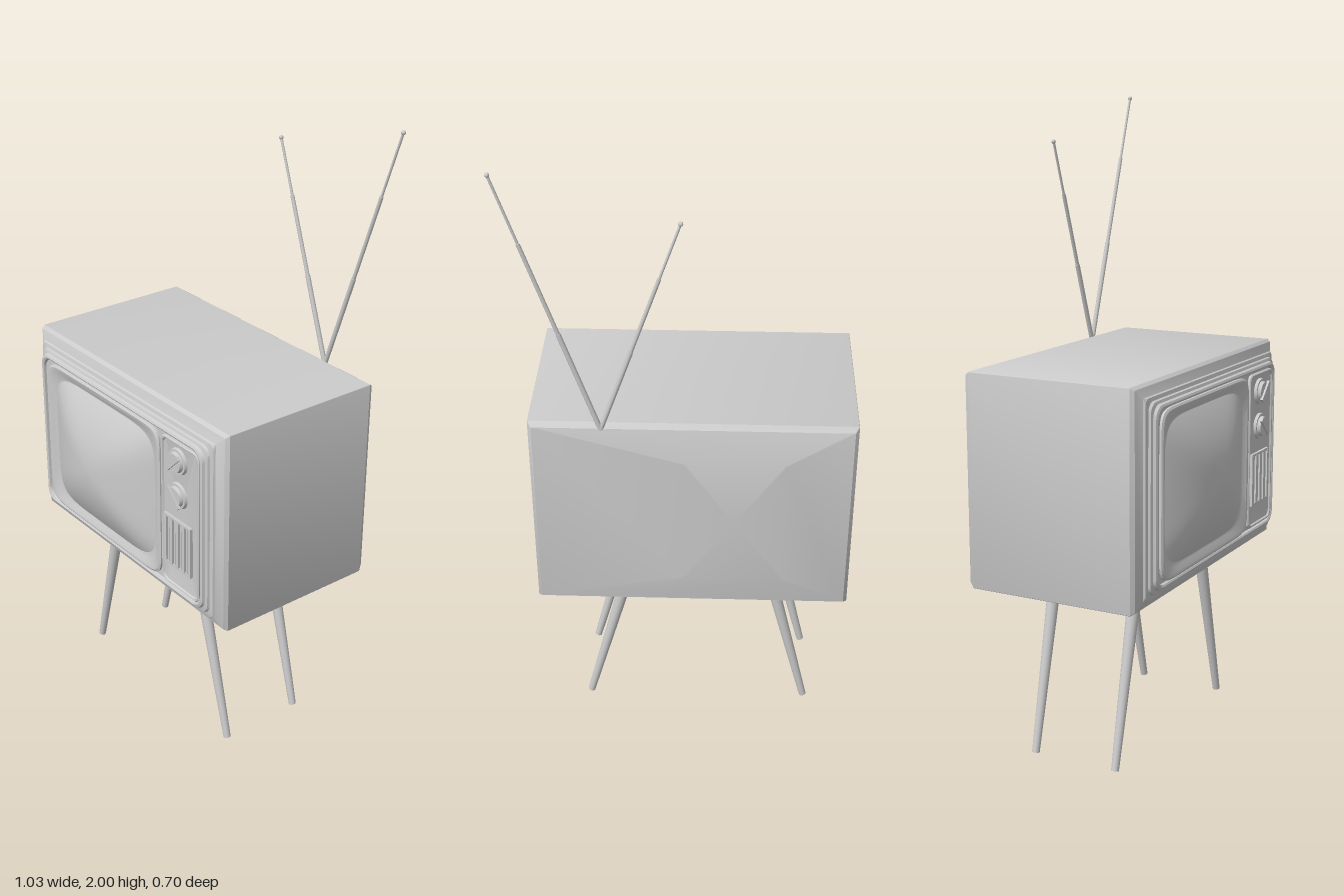
import * as THREE from 'three';
import { toCreasedNormals } from 'three/addons/utils/BufferGeometryUtils.js';

const material = new THREE.MeshStandardMaterial({ color: 0xcccccc });

function add(parent, name, geometry, x = 0, y = 0, z = 0) {
  const mesh = new THREE.Mesh(geometry, material);
  mesh.name = name;
  mesh.position.set(x, y, z);
  parent.add(mesh);
  return mesh;
}

// Rounded rectangle loop, counter-clockwise seen from the front
function rectLoop(x0, x1, y0, y1, r, z) {
  const pts = [];
  const corners = [[x1 - r, y0 + r], [x1 - r, y1 - r], [x0 + r, y1 - r], [x0 + r, y0 + r]];
  corners.forEach(([cx, cy], c) => {
    for (let i = 0; i <= 6; i++) {
      const a = (c - 1 + i / 6) * Math.PI / 2;
      pts.push([cx + r * Math.cos(a), cy + r * Math.sin(a), z]);
    }
  });
  return pts;
}

// Barrel-sided loop of the picture tube
function tubeLoop(a, b, z, n = 6) {
  const pts = [];
  const power = v => Math.sign(v) * Math.abs(v) ** (2 / n);
  for (let i = 0; i < 72; i++) {
    const t = i / 72 * Math.PI * 2;
    pts.push([-0.12 + a * power(Math.cos(t)), 0.878 + b * power(Math.sin(t)), z]);
  }
  return pts;
}

// Skin through matching loops, with optional flat ends
function loft(loops, startCap, endCap, crease = 0.45) {
  const n = loops[0].length, pos = [], index = [];
  loops.forEach(l => l.forEach(p => pos.push(...p)));
  for (let k = 0; k < loops.length - 1; k++) {
    for (let i = 0; i < n; i++) {
      const j = (i + 1) % n, a = k * n + i, b = k * n + j;
      index.push(a, b, b + n, a, b + n, a + n);
    }
  }
  const cap = (k, flip) => {
    const c = [0, 1, 2].map(d => loops[k].reduce((s, p) => s + p[d], 0) / n);
    const ci = pos.length / 3;
    pos.push(...c);
    for (let i = 0; i < n; i++) {
      const a = k * n + i, b = k * n + (i + 1) % n;
      index.push(ci, flip ? b : a, flip ? a : b);
    }
  };
  if (startCap) cap(0, true);
  if (endCap) cap(loops.length - 1, false);
  const g = new THREE.BufferGeometry();
  g.setAttribute('position', new THREE.Float32BufferAttribute(pos, 3));
  g.setIndex(index);
  return toCreasedNormals(g, crease);
}

// Tapered rod between two points
function rod(parent, name, from, to, r0, r1, sides = 16) {
  const a = new THREE.Vector3(...from), b = new THREE.Vector3(...to);
  const dir = b.clone().sub(a);
  const mesh = add(parent, name, new THREE.CylinderGeometry(r1, r0, dir.length(), sides));
  mesh.position.copy(a).add(b).multiplyScalar(0.5);
  mesh.quaternion.setFromUnitVectors(new THREE.Vector3(0, 1, 0), dir.normalize());
}

function disc(parent, name, r0, r1, depth, z) {
  const g = new THREE.CylinderGeometry(r1, r0, depth, 32).rotateX(Math.PI / 2);
  return add(parent, name, g, 0, 0, z);
}

export function createModel() {
  const tv = new THREE.Group();
  tv.name = 'television';

  // Cabinet: bulged back, straight sides, stepped front moulding
  const body = (inset, z, r = 0.003) =>
    rectLoop(-0.52 + inset, 0.452 - inset, 0.548 + inset, 1.212 - inset, r, z);
  const profile = [
    [0.012, -0.318], [0, -0.3], [0, 0.235], [0.008, 0.247], [0.034, 0.259],
    [0.036, 0.266, 0.02], [0.047, 0.269, 0.03], [0.049, 0.276, 0.035], [0.057, 0.279, 0.04],
    [0.06, 0.287, 0.04], [0.066, 0.29, 0.04], [0.071, 0.287, 0.04], [0.073, 0.279, 0.04],
  ];
  add(tv, 'cabinet', loft([
    rectLoop(-0.31, -0.01, 0.67, 1.1, 0.003, -0.35),
    ...profile.map(p => body(...p)),
  ], true, true));

  // Bezel sloping in to the screen
  add(tv, 'screenBezel', loft([
    tubeLoop(0.305, 0.258, 0.27, 12), tubeLoop(0.305, 0.258, 0.286, 12),
    tubeLoop(0.299, 0.252, 0.29, 12), tubeLoop(0.29, 0.243, 0.289, 11),
    tubeLoop(0.278, 0.23, 0.281, 8), tubeLoop(0.27, 0.222, 0.279, 6),
  ], false, false));

  // Domed screen
  const dome = [];
  for (let i = 0; i <= 12; i++) {
    const s = Math.cos(i / 12.3 * Math.PI / 2);
    dome.push(tubeLoop(0.27 * s, 0.224 * s, 0.279 + 0.067 * (1 - s * s), 2.4 + 3.6 * s));
  }
  add(tv, 'screen', loft(dome, false, true, 0.8));

  // Control panel with raised rim
  const panel = (i, z) => rectLoop(0.192 + i, 0.376 - i, 0.625 + i, 1.132 - i, 0.022, z);
  add(tv, 'controlPanel', loft([
    panel(0, 0.27), panel(0, 0.286), panel(0.003, 0.289), panel(0.007, 0.288), panel(0.01, 0.283),
  ], false, true));

  // Two dials with diagonal grips
  for (const y of [1.07, 0.955]) {
    const knob = new THREE.Group();
    knob.name = 'knob';
    knob.position.set(0.275, y, 0);
    disc(knob, 'knobPlate', 0.043, 0.04, 0.01, 0.287);
    disc(knob, 'knobDial', 0.034, 0.03, 0.014, 0.296);
    add(knob, 'knobGrip', new THREE.BoxGeometry(0.078, 0.014, 0.009), 0, 0, 0.305)
      .rotation.z = y > 1 ? Math.PI / 4 : -Math.PI / 4;
    tv.add(knob);
  }

  // Speaker grille: frame rails and upright slats
  const grille = new THREE.Group();
  grille.name = 'speakerGrille';
  for (const y of [0.703, 0.867]) {
    add(grille, 'grilleRail', new THREE.BoxGeometry(0.132, 0.008, 0.012), 0.275, y, 0.286);
  }
  for (let i = 0; i < 9; i++) {
    const wide = i % 2 === 0;
    add(grille, 'grilleSlat', new THREE.BoxGeometry(wide ? 0.013 : 0.005, 0.164, wide ? 0.014 : 0.008),
      0.215 + i * 0.015, 0.785, 0.286);
  }
  tv.add(grille);

  // Splayed tapered legs
  for (const z of [0.124, -0.157]) {
    rod(tv, 'leg', [-0.41, 0.003, z], [-0.274, 0.56, z], 0.012, 0.021);
    rod(tv, 'leg', [0.316, 0.003, z], [0.168, 0.56, z], 0.012, 0.021);
  }

  // Telescopic aerials: three sections and a tip ball each
  const base = new THREE.Vector3(0.235, 1.195, -0.313);
  for (const tip of [new THREE.Vector3(0, 1.86, -0.313), new THREE.Vector3(0.508, 1.993, -0.313)]) {
    const at = t => base.clone().lerp(tip, t).toArray();
    [[0, 0.4, 0.0075], [0.4, 0.75, 0.006], [0.75, 1, 0.004]].forEach(([a, b, r]) =>
      rod(tv, 'antennaSection', at(a), at(b), r, r, 10));
    add(tv, 'antennaTip', new THREE.SphereGeometry(0.007, 12, 8), ...tip.toArray());
  }
  return tv;
}
